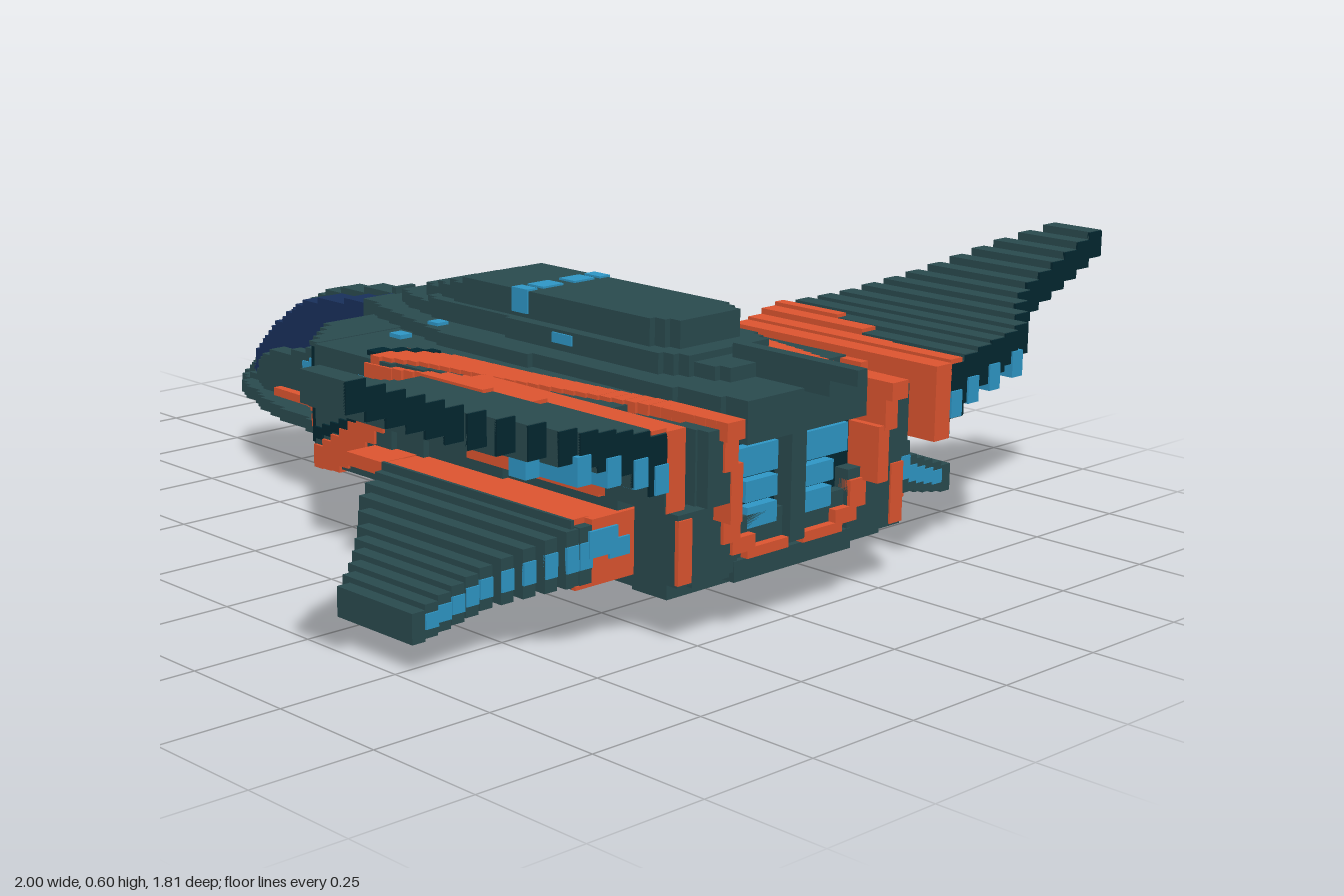
import * as THREE from 'three';
import { mergeGeometries } from 'three/addons/utils/BufferGeometryUtils.js';

const U = 0.0135; // size of one block

function material(name, color) {
  const m = new THREE.MeshStandardMaterial({ color });
  m.name = name;
  return m;
}

export function createModel() {
  const ship = new THREE.Group();
  ship.name = 'ship';
  const hull = material('hull teal', 0x2a4b4f);
  const dark = material('dark teal', 0x022730);
  const orange = material('orange', 0xdf5530);
  const blue = material('glow blue', 0x2f98c8);
  const navy = material('canopy navy', 0x19305c);

  const block = (x0, x1, y0, y1, z0, z1) =>
    new THREE.BoxGeometry(x1 - x0, y1 - y0, z1 - z0).translate((x0 + x1) / 2, (y0 + y1) / 2, (z0 + z1) / 2);

  function add(name, mat, geos) {
    const mesh = new THREE.Mesh(mergeGeometries(geos), mat);
    mesh.name = name;
    ship.add(mesh);
  }

  // Boxes given as [x0, x1, y0, y1, z0, z1], mirrored to both sides
  function pairs(name, mat, list) {
    add(name, mat, list.flatMap(([a, b, ...r]) => [block(a, b, ...r), block(-b, -a, ...r)]));
  }

  // Stepped slices through key rows [position, limits...]
  function slices(rows, step, snap = false) {
    const out = [], start = rows[0][0], end = rows[rows.length - 1][0];
    const n = Math.max(1, Math.round((end - start) / step));
    for (let i = 0; i < n; i++) {
      const a = start + (end - start) * i / n, b = start + (end - start) * (i + 1) / n, p = (a + b) / 2;
      let k = 0;
      while (k < rows.length - 2 && rows[k + 1][0] < p) k++;
      const t = (p - rows[k][0]) / (rows[k + 1][0] - rows[k][0]);
      const v = rows[k].slice(1).map((q, j) => {
        const w = q + (rows[k + 1][j + 1] - q) * t;
        return snap ? Math.round(w / U) * U : w;
      });
      out.push([a, b, v]);
    }
    return out;
  }

  // Centred part along z: rows are [z, halfWidth, y0, y1]
  function spine(name, mat, rows, step = 2 * U) {
    add(name, mat, slices(rows, step, true).map(([a, b, [w, y0, y1]]) =>
      block(-Math.max(w, U), Math.max(w, U), y0, Math.max(y1, y0 + U), a, b)));
  }

  // Mirrored part along z: rows are [z, x0, x1, y0, y1]
  function flank(name, mat, rows) {
    pairs(name, mat, slices(rows, 2 * U).map(([a, b, v]) => [...v, a, b]));
  }

  // Mirrored wing along x: rows are [x, y0, y1, z0, z1], with a thin plate on the
  // back of each column up to plateEnd; inset gives the plate's margins
  function wing(name, rows, step, plateName, plateMat, inset, plateEnd) {
    const columns = slices(rows, step).map(([a, b, v]) => [a, b, ...v]);
    pairs(name, hull, columns);
    pairs(plateName, plateMat, columns.filter((c) => c[1] < plateEnd).map(([a, b, y0, y1, , z1]) =>
      [a, b, y0 + (y1 - y0) * inset, y1 - (y1 - y0) * inset, z1 - 0.003, z1 + 0.003]));
  }

  // Nose and canopy
  spine('noseChine', hull, [[-0.905, 0.025, 0.14, 0.18], [-0.85, 0.08, 0.145, 0.19], [-0.8, 0.11, 0.16, 0.19],
    [-0.7, 0.155, 0.16, 0.19], [-0.6, 0.185, 0.16, 0.19], [-0.5, 0.205, 0.16, 0.19], [-0.34, 0.22, 0.16, 0.19], [-0.18, 0.22, 0.15, 0.19]]);
  spine('noseTip', hull, [[-0.9, 0.03, 0.16, 0.19], [-0.83, 0.055, 0.16, 0.23]], U);
  spine('noseWalls', hull, [[-0.83, 0.07, 0.16, 0.19], [-0.72, 0.115, 0.16, 0.27], [-0.5, 0.125, 0.16, 0.32],
    [-0.39, 0.13, 0.16, 0.36], [-0.33, 0.16, 0.16, 0.42]]);
  spine('canopy', navy, [[-0.85, 0.045, 0.19, 0.215], [-0.8, 0.07, 0.19, 0.27], [-0.7, 0.085, 0.2, 0.35],
    [-0.6, 0.09, 0.2, 0.405], [-0.37, 0.09, 0.2, 0.44]], U);
  spine('canopyRidge', hull, [[-0.86, 0.03, 0.19, 0.22], [-0.8, 0.03, 0.19, 0.285], [-0.7, 0.03, 0.2, 0.365],
    [-0.6, 0.03, 0.2, 0.42], [-0.37, 0.03, 0.2, 0.455]], U);
  flank('noseStripe', orange, [[-0.66, 0.1, 0.14, 0.18, 0.207], [-0.52, 0.1, 0.145, 0.18, 0.207],
    [-0.42, 0.1, 0.2, 0.18, 0.207], [-0.415, 0.1, 0.223, 0.18, 0.207], [-0.335, 0.1, 0.226, 0.18, 0.207]]);
  pairs('noseWindows', blue, [[0.1, 0.139, 0.265, 0.305, -0.41, -0.36], [0.1, 0.139, 0.25, 0.28, -0.45, -0.37],
    [0.1, 0.1255, 0.25, 0.28, -0.575, -0.47], [0.1, 0.1255, 0.28, 0.29, -0.55, -0.48]]);

  // Shoulders with angled intakes
  flank('intakes', dark, [[-0.335, 0, 0.23, 0.21, 0.41], [-0.2, 0, 0.38, 0.21, 0.41]]);
  flank('intakeCaps', hull, [[-0.335, 0, 0.235, 0.41, 0.42], [-0.2, 0, 0.385, 0.41, 0.42]]);
  flank('intakeSills', hull, [[-0.335, 0, 0.225, 0.175, 0.21], [-0.2, 0, 0.375, 0.175, 0.21]]);
  spine('shoulders', hull, [[-0.2, 0.378, 0.175, 0.42], [0, 0.378, 0.175, 0.42], [0.1, 0.36, 0.12, 0.42],
    [0.3, 0.345, 0.12, 0.42], [0.62, 0.335, 0.12, 0.41], [0.63, 0.295, 0.12, 0.41], [0.71, 0.28, 0.12, 0.41]]);
  flank('rearWalls', hull, [[0.71, 0.205, 0.285, 0.27, 0.41], [0.79, 0.205, 0.27, 0.27, 0.41]]);
  flank('rearLowerWalls', hull, [[0.64, 0.15, 0.305, 0.12, 0.255], [0.75, 0.15, 0.305, 0.12, 0.255]]);
  flank('shoulderStripe', orange, [[-0.02, 0.29, 0.383, 0.4, 0.427], [0.1, 0.255, 0.345, 0.4, 0.427],
    [0.3, 0.245, 0.318, 0.4, 0.427], [0.5, 0.225, 0.28, 0.4, 0.427], [0.64, 0.2, 0.25, 0.39, 0.425], [0.81, 0.2, 0.245, 0.39, 0.425]]);
  flank('shoulderGroove', dark, [[-0.055, 0.34, 0.382, 0.4, 0.428], [-0.03, 0.3, 0.34, 0.4, 0.428], [0.05, 0.25, 0.265, 0.4, 0.429]]);
  flank('sideStripe', orange, [[-0.2, 0.35, 0.384, 0.165, 0.205], [-0.12, 0.35, 0.384, 0.17, 0.25],
    [-0.05, 0.35, 0.384, 0.225, 0.3], [-0.03, 0.35, 0.384, 0.24, 0.41], [0.05, 0.33, 0.384, 0.32, 0.412],
    [0.12, 0.32, 0.37, 0.385, 0.415], [0.27, 0.32, 0.36, 0.395, 0.42]]);
  flank('sideGroove', dark, [[-0.2, 0.35, 0.383, 0.22, 0.245], [-0.13, 0.35, 0.383, 0.25, 0.27], [-0.04, 0.35, 0.383, 0.29, 0.31]]);
  pairs('sideLights', blue, [[0.35, 0.386, 0.31, 0.38, -0.06, -0.025]]);
  pairs('shoulderLights', blue, [[0.195, 0.225, 0.4, 0.427, -0.15, -0.115], [0.14, 0.17, 0.43, 0.452, -0.095, -0.065]]);

  // Belly and keel
  spine('belly', hull, [[-0.2, 0.16, 0.15, 0.22], [-0.12, 0.22, 0.09, 0.22], [0.05, 0.265, 0.08, 0.22],
    [0.52, 0.265, 0.08, 0.22], [0.53, 0.26, 0.105, 0.22], [0.74, 0.25, 0.105, 0.22]]);
  spine('keel', hull, [[0.05, 0.05, 0.06, 0.1], [0.14, 0.07, 0.01, 0.1], [0.17, 0.09, 0, 0.1], [0.53, 0.105, 0, 0.1]], U);
  add('keelEngine', blue, [block(-0.05, 0.05, 0.025, 0.065, 0.52, 0.535), block(-0.035, 0.035, 0.015, 0.075, 0.52, 0.534)]);

  // Stepped back, raised hump and tail spike
  spine('upperDeck', hull, [[-0.38, 0.1, 0.35, 0.45], [-0.25, 0.14, 0.35, 0.45], [0, 0.2, 0.35, 0.445],
    [0.55, 0.19, 0.35, 0.445], [0.78, 0.16, 0.37, 0.445]]);
  spine('lowerHump', hull, [[-0.3, 0.07, 0.4, 0.47], [-0.1, 0.125, 0.4, 0.485], [0.52, 0.135, 0.4, 0.485], [0.66, 0.07, 0.4, 0.47]]);
  spine('hump', hull, [[-0.22, 0.07, 0.44, 0.495], [-0.1, 0.1, 0.44, 0.525], [-0.05, 0.108, 0.44, 0.535],
    [0.46, 0.108, 0.44, 0.535], [0.53, 0.08, 0.44, 0.535]]);
  pairs('humpWindows', blue, [[0.015, 0.07, 0.5, 0.544, 0.095, 0.14], [0.085, 0.113, 0.495, 0.544, 0.095, 0.14],
    [0.1, 0.139, 0.46, 0.48, 0.24, 0.295]]);
  add('tailSpike', hull, [block(-0.013, 0.013, 0.47, 0.5, 0.6, 0.905), block(-0.013, 0.013, 0.44, 0.47, 0.6, 0.84)]);

  // Rear engine bay
  add('engineBay', dark, [block(-0.2, 0.2, 0.15, 0.4, 0.7, 0.718)]);
  add('engineDivider', hull, [block(-0.02, 0.02, 0.15, 0.4, 0.7, 0.76)]);
  add('engineSill', hull, [block(-0.16, 0.16, 0.1, 0.14, 0.7, 0.752)]);
  pairs('engineFrame', orange, [[0.2, 0.235, 0.33, 0.415, 0.7, 0.795], [0.185, 0.215, 0.23, 0.34, 0.7, 0.793],
    [0.15, 0.195, 0.18, 0.235, 0.7, 0.757], [0.11, 0.17, 0.155, 0.185, 0.7, 0.757], [0.02, 0.13, 0.14, 0.16, 0.7, 0.757]]);
  pairs('engineGlow', blue, [[0.035, 0.158, 0.29, 0.345, 0.71, 0.74], [0.035, 0.12, 0.24, 0.28, 0.71, 0.74],
    [0.035, 0.115, 0.19, 0.23, 0.71, 0.74]]);
  pairs('rearCornerPlates', orange, [[0.272, 0.307, 0.125, 0.245, 0.745, 0.754]]);

  // Upper wings
  pairs('upperWingRoot', orange, [[0.32, 0.385, 0.28, 0.415, 0.272, 0.63], [0.34, 0.385, 0.285, 0.415, 0.63, 0.8]]);
  pairs('upperWingRootSide', hull, [[0.38, 0.388, 0.285, 0.4, 0.65, 0.798]]);
  wing('upperWing', [[0.385, 0.31, 0.425, 0.27, 0.797], [0.43, 0.335, 0.44, 0.27, 0.797], [0.5, 0.38, 0.455, 0.27, 0.797],
    [0.6, 0.41, 0.472, 0.33, 0.797], [0.7, 0.435, 0.5, 0.39, 0.72], [0.75, 0.45, 0.515, 0.42, 0.69],
    [0.9, 0.51, 0.572, 0.51, 0.69], [1, 0.555, 0.61, 0.59, 0.69]], 0.041, 'upperWingTrailingEdge', dark, 0.02, 2);
  pairs('upperWingStripe', orange, [[0.34, 0.386, 0.41, 0.433, 0.268, 0.8], [0.385, 0.42, 0.42, 0.439, 0.268, 0.797],
    [0.419, 0.427, 0.42, 0.439, 0.268, 0.62], [0.426, 0.467, 0.42, 0.451, 0.268, 0.54], [0.466, 0.492, 0.43, 0.459, 0.268, 0.44]]);
  pairs('upperWingLights', blue, [[0.4, 0.35], [0.45, 0.37], [0.515, 0.385], [0.585, 0.4], [0.655, 0.415]].map(
    ([x, y], i) => [x - 0.016, x + 0.016, y - 0.025, y + 0.027, 0.71, i > 3 ? 0.752 : 0.804]));

  // Lower wings
  pairs('lowerWingRoot', orange, [[0.3, 0.45, 0.22, 0.247, -0.01, 0.1], [0.25, 0.41, 0.125, 0.245, 0.1, 0.64],
    [0.4, 0.449, 0.23, 0.246, 0.1, 0.62], [0.25, 0.45, 0.121, 0.128, 0.1, 0.64]]);
  wing('lowerWing', [[0.41, 0.128, 0.235, 0.1, 0.64], [0.45, 0.128, 0.235, 0.1, 0.64], [0.5, 0.115, 0.21, 0.11, 0.6],
    [0.57, 0.09, 0.17, 0.19, 0.54], [0.65, 0.07, 0.14, 0.27, 0.53], [0.735, 0.055, 0.11, 0.33, 0.53]],
    0.03, 'lowerWingGlow', blue, 0.27, 0.71);
  pairs('lowerWingShoulder', hull, [[0.445, 0.452, 0.122, 0.249, 0.1, 0.63]]);
  pairs('lowerRootGlow', blue, [[0.32, 0.37, 0.165, 0.2, 0.63, 0.645], [0.35, 0.42, 0.175, 0.225, 0.63, 0.646]]);

  return ship;
}
